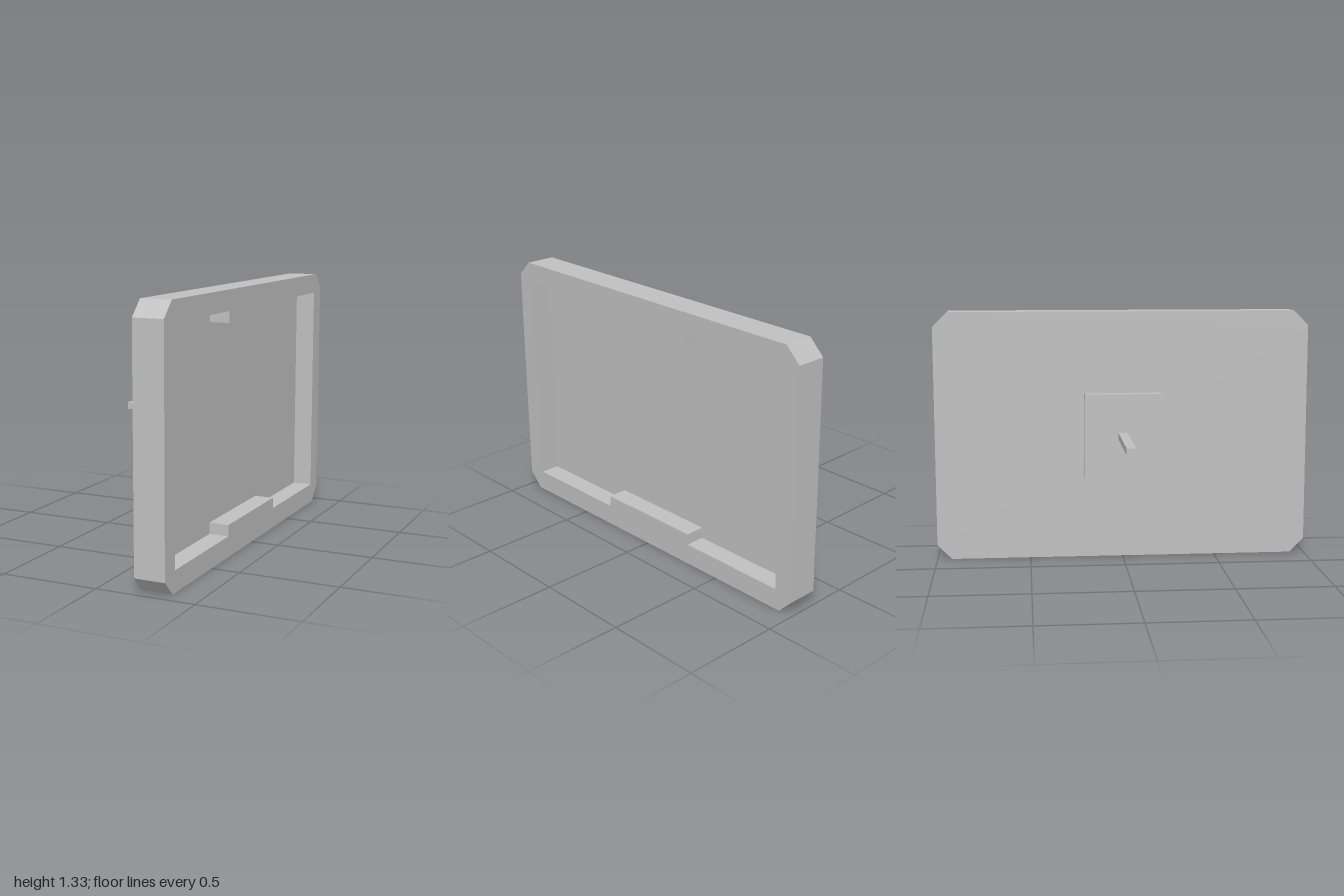
import * as THREE from 'three';

const grey = new THREE.MeshStandardMaterial({ color: 0xc0c0c0 });
grey.name = 'grey';

const BACK = 0.198, FLOOR = 0.25, FRONT = 0.353; // panel depths along x
const HEIGHT = 1.327;

// Octagonal outline of the panel with clipped corners
function outline() {
  const w = 1, h = HEIGHT, c = 0.077;
  return [[-w + c, 0], [w - c, 0], [w, c], [w, h - c], [w - c, h], [-w + c, h], [-w, h - c], [-w, c]]
    .map(([u, v]) => new THREE.Vector2(u, v));
}

// Recess outline with a tab at the middle of the top and bottom edges
function recess() {
  const w = 0.897, lo = 0.107, hi = 1.224, t = 0.299, d = 0.058;
  return [
    [-w, lo], [-t, lo], [-t, lo + d], [t, lo + d], [t, lo], [w, lo],
    [w, hi], [t, hi], [t, hi - d], [-t, hi - d], [-t, hi], [-w, hi],
  ].map(([u, v]) => new THREE.Vector2(u, v));
}

// Extrude an upright shape along +x, from x0 to x1
function slab(name, shape, x0, x1) {
  const geo = new THREE.ExtrudeGeometry(shape, { depth: x1 - x0, bevelEnabled: false });
  geo.rotateY(Math.PI / 2);
  geo.translate(x0, 0, 0);
  const mesh = new THREE.Mesh(geo, grey);
  mesh.name = name;
  return mesh;
}

function box(name, x0, x1, y0, y1, z0, z1) {
  const mesh = new THREE.Mesh(new THREE.BoxGeometry(x1 - x0, y1 - y0, z1 - z0), grey);
  mesh.position.set((x0 + x1) / 2, (y0 + y1) / 2, (z0 + z1) / 2);
  mesh.name = name;
  return mesh;
}

export function createModel() {
  const group = new THREE.Group();
  group.name = 'wallPanel';

  // Panel: solid back and a raised frame around the recess
  group.add(slab('backPanel', new THREE.Shape(outline()), BACK, FLOOR));
  const frame = new THREE.Shape(outline());
  frame.holes.push(new THREE.Path(recess()));
  group.add(slab('frame', frame, FLOOR, FRONT));

  // Mounting plate and rod behind the panel
  group.add(box('mountPlate', 0.141, BACK, 0.438, 0.892, -0.205, 0.202));
  group.add(box('mountRod', -0.355, 0.141, 0.649, 0.685, -0.026, 0.021));
  return group;
}
